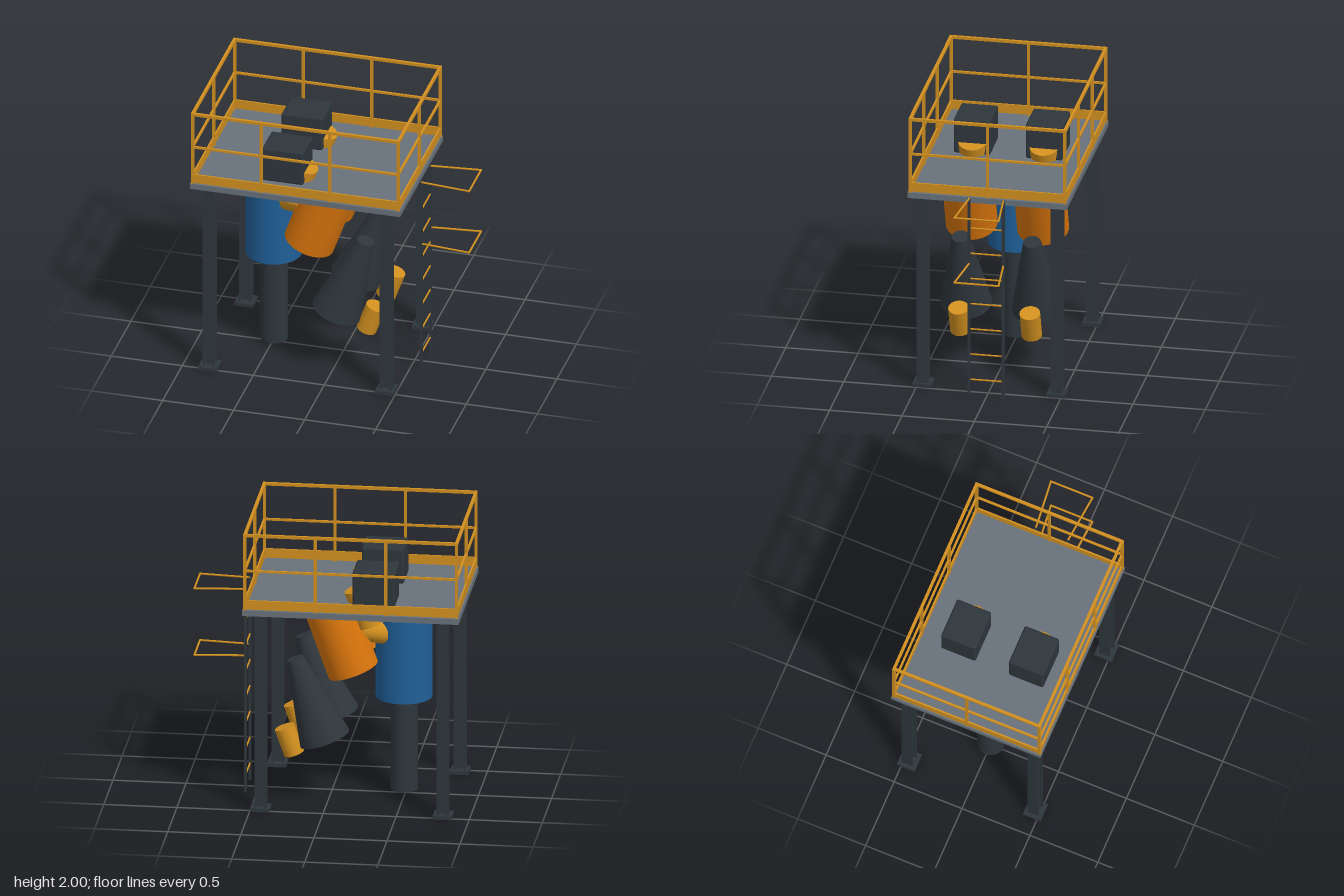
import * as THREE from 'three';
import { RoundedBoxGeometry } from 'three/addons/geometries/RoundedBoxGeometry.js';

const material = (name, color) => {
  const m = new THREE.MeshStandardMaterial({ color });
  m.name = name;
  return m;
};

export function createModel() {
  const model = new THREE.Group();
  model.name = 'dustCollectorPlatform';

  const steel = material('dark steel', 0x2e363c);
  const deckGrey = material('deck grey', 0x68717b);
  const yellow = material('safety yellow', 0xd2901f);
  const orange = material('orange', 0xd9750c);
  const blue = material('blue', 0x1f5f97);

  const group = (name, parent = model) => {
    const g = new THREE.Group();
    g.name = name;
    parent.add(g);
    return g;
  };
  const add = (name, geometry, mat, parent, x = 0, y = 0, z = 0) => {
    const mesh = new THREE.Mesh(geometry, mat);
    mesh.name = name;
    mesh.position.set(x, y, z);
    parent.add(mesh);
    return mesh;
  };
  const box = (name, w, h, d, mat, parent, x, y, z) =>
    add(name, new THREE.BoxGeometry(w, h, d), mat, parent, x, y, z);

  // Cylinder or cone running from point a to point b
  const up = new THREE.Vector3(0, 1, 0);
  const rod = (name, a, b, rA, rB, mat, parent, sides = 32) => {
    const start = new THREE.Vector3(...a);
    const end = new THREE.Vector3(...b);
    const dir = end.clone().sub(start);
    const mesh = add(name, new THREE.CylinderGeometry(rB, rA, dir.length(), sides), mat, parent);
    mesh.position.copy(start).add(end).multiplyScalar(0.5);
    mesh.quaternion.setFromUnitVectors(up, dir.normalize());
    return mesh;
  };

  // Deck
  const deckX = -0.193;
  box('deck', 1.48, 0.04, 1.1, deckGrey, model, deckX, 1.435, 0);

  // Four H-section legs with base plates
  for (const x of [-0.817, 0.43]) {
    for (const z of [-0.464, 0.464]) {
      const leg = group('leg');
      leg.position.set(x, 0, z);
      box('basePlate', 0.13, 0.025, 0.13, steel, leg, 0, 0.0125, 0);
      box('web', 0.062, 1.39, 0.012, steel, leg, 0, 0.72, 0);
      for (const s of [-1, 1]) box('flange', 0.012, 1.39, 0.08, steel, leg, s * 0.034, 0.72, 0);
    }
  }

  // Guard rail: posts, top rails, middle rails and toe boards
  const railing = group('railing');
  const railX = 0.724, railZ = 0.535;
  const post = (x, z) => box('post', 0.02, 0.54, 0.02, yellow, railing, x, 1.725, z);
  for (const s of [-1, 1]) {
    for (let i = 0; i < 4; i++) post(deckX - railX + (i * railX * 2) / 3, s * railZ);
    post(deckX + s * railX, 0);
    for (const [name, y, h, t] of [['topRail', 1.99, 0.02, 0.02], ['middleRail', 1.735, 0.015, 0.015], ['toeBoard', 1.4925, 0.065, 0.012]]) {
      box(name, railX * 2 + t, h, t, yellow, railing, deckX, y, s * railZ);
      box(name, t, h, railZ * 2 - t, yellow, railing, deckX + s * railX, y, 0);
    }
  }

  // Central vessel and its discharge pipe
  rod('vessel', [-0.492, 0.7, 0], [-0.492, 1.315, 0], 0.194, 0.194, blue, model, 40);
  rod('dischargePipe', [-0.492, 0.03, 0], [-0.492, 0.705, 0], 0.094, 0.094, steel, model);

  // Two tilted separators, mirrored front to back
  for (const s of [-1, 1]) {
    const unit = group('separator');
    const z = s * 0.247;
    rod('drum', [-0.175, 0.956, z], [-0.018, 1.392, z], 0.177, 0.177, orange, unit, 40);
    rod('cone', [0.02, 0.454, z], [0.222, 1.019, z], 0.177, 0.06, steel, unit, 40);
    rod('coneOutlet', [0.228, 0.336, z], [0.296, 0.524, z], 0.07, 0.07, yellow, unit);
    rod('riserPipe', [-0.298, 1.291, z], [-0.21, 1.545, z], 0.1, 0.1, yellow, unit);
    rod('inletDuct', [-0.49, 1.13, 0], [-0.2, 1.25, z], 0.077, 0.077, yellow, unit);
    add('motorHousing', new RoundedBoxGeometry(0.29, 0.25, 0.254, 3, 0.014), steel, unit, -0.33, 1.58, s * 0.249);
  }

  // Access ladder with two safety hoops
  const ladder = group('ladder');
  const ladderX = 0.577, stileZ = 0.118;
  for (const s of [-1, 1]) box('stile', 0.018, 1.458, 0.018, steel, ladder, ladderX, 0.729, s * stileZ);
  for (let i = 0; i < 7; i++) {
    const y = 0.125 + i * 0.186;
    rod('rung', [ladderX, y, -stileZ], [ladderX, y, stileZ], 0.006, 0.006, yellow, ladder, 10);
  }
  for (const y of [0.98, 1.458]) {
    const hoop = group('safetyHoop', ladder);
    for (const s of [-1, 1]) rod('hoopArm', [ladderX, y, s * stileZ], [0.924, y, s * 0.153], 0.007, 0.007, yellow, hoop, 10);
    rod('hoopBar', [0.924, y, -0.158], [0.924, y, 0.158], 0.007, 0.007, yellow, hoop, 10);
  }

  return model;
}
